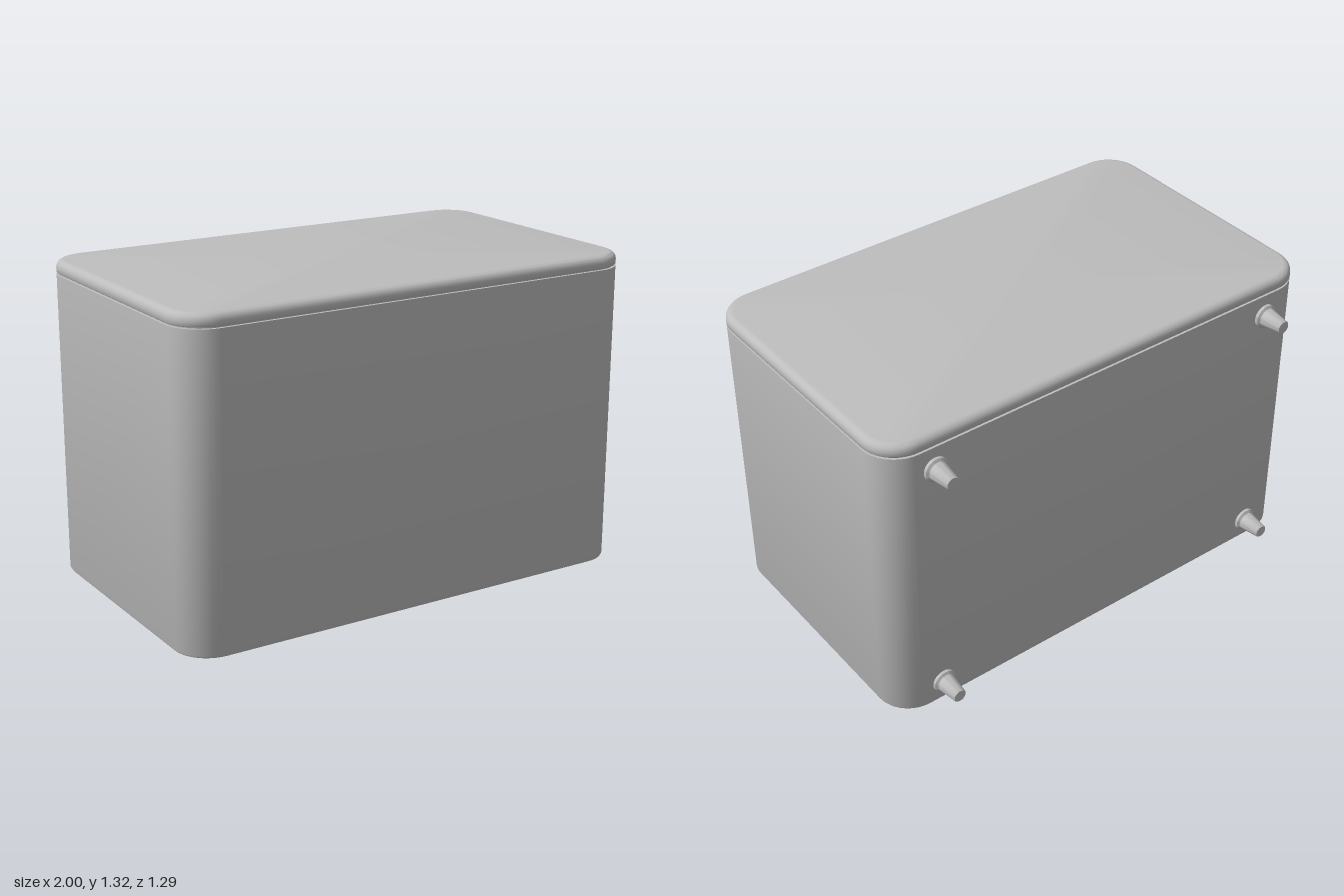
import * as THREE from 'three';
import { toCreasedNormals } from 'three/addons/utils/BufferGeometryUtils.js';

const HALF_X = 1, HALF_Z = 0.592, MID_Z = 0.053, CORNER = 0.145, STEPS = 12;

// One rounded-rectangle cross-section, inset from the outer wall; inset null is the centre point
function ring(inset, y) {
  const pts = [];
  for (let q = 0; q < 4; q++) {
    const sx = q === 0 || q === 3 ? 1 : -1, sz = q < 2 ? 1 : -1;
    for (let i = 0; i <= STEPS; i++) {
      if (inset === null) { pts.push([0, y, MID_Z]); continue; }
      const a = (q + i / STEPS) * Math.PI / 2, r = CORNER - inset;
      pts.push([sx * (HALF_X - CORNER) + r * Math.cos(a), y,
        MID_Z + sz * (HALF_Z - CORNER) + r * Math.sin(a)]);
    }
  }
  return pts;
}

// Skin a profile of [inset, y] pairs around the rounded rectangle
function loft(profile) {
  const rings = profile.map(([d, y]) => ring(d, y)), pos = [];
  for (let k = 0; k + 1 < rings.length; k++) {
    const a = rings[k], b = rings[k + 1], n = a.length;
    for (let i = 0; i < n; i++) {
      const j = (i + 1) % n;
      if (profile[k][0] !== null) pos.push(...a[i], ...b[i], ...a[j]);
      if (profile[k + 1][0] !== null) pos.push(...a[j], ...b[i], ...b[j]);
    }
  }
  const g = new THREE.BufferGeometry();
  g.setAttribute('position', new THREE.Float32BufferAttribute(pos, 3));
  return toCreasedNormals(g, 0.7);
}

// Quarter round between a side and a flat top
function roundOver(r, top) {
  return Array.from({ length: 7 }, (_, i) => {
    const a = i / 6 * Math.PI / 2;
    return [r * (1 - Math.cos(a)), top - r * (1 - Math.sin(a))];
  });
}

export function createModel() {
  const group = new THREE.Group();
  const grey = new THREE.MeshStandardMaterial({ color: 0xbdbdbd });
  const add = (geo, name, parent = group) => {
    const m = new THREE.Mesh(geo, grey);
    m.name = name;
    parent.add(m);
    return m;
  };

  // Hollow housing, open underneath
  add(loft([[null, 1.22], [0.04, 1.22], [0.04, 0.035], [0.032, 0.027], [0.012, 0.027],
    [0.004, 0.03], [0, 0.038], [0, 1.264], [0.012, 1.264], [0.012, 1.272]]), 'housing');

  // Lid with a rounded upper edge
  add(loft([[0.02, 1.27], [0.003, 1.27], [0, 1.274], ...roundOver(0.03, 1.32), [null, 1.32]]), 'lid');

  // Connector plate closing one end of the opening
  const inset = 0.04, px = HALF_X - inset, pz = HALF_Z - inset, r = CORNER - inset;
  const outline = new THREE.Shape();
  outline.moveTo(0.58, -pz);
  outline.lineTo(px - r, -pz);
  outline.absarc(px - r, -pz + r, r, -Math.PI / 2, 0);
  outline.lineTo(px, pz - r);
  outline.absarc(px - r, pz - r, r, 0, Math.PI / 2);
  outline.lineTo(0.58, pz);
  outline.closePath();
  const plate = new THREE.ExtrudeGeometry(outline, { depth: 0.02, bevelEnabled: false, curveSegments: 12 });
  plate.rotateX(Math.PI / 2).translate(0, 0.04, MID_Z);
  add(toCreasedNormals(plate, 0.6), 'connectorPlate');

  // Raised rings on the plate
  for (const [z, radius] of [[0.385, 0.08], [0.035, 0.08], [-0.335, 0.09]]) {
    const profile = [[radius - 0.016, 0.024], [radius - 0.016, 0.006], [radius - 0.011, 0.001],
      [radius - 0.006, 0.001], [radius, 0.006], [radius, 0.024]];
    const geo = new THREE.LatheGeometry(profile.map(p => new THREE.Vector2(...p)), 40);
    add(toCreasedNormals(geo, 0.9), 'connectorRing').position.set(0.77, 0, z);
  }

  // Tapered pegs on the back, each with a collar
  const pegProfile = [[0, 0], [0.05, 0], [0.05, 0.012], [0.042, 0.016], [0.039, 0.018],
    [0.028, 0.104], [0.025, 0.108], [0, 0.108]].map(p => new THREE.Vector2(...p));
  const pegGeo = toCreasedNormals(new THREE.LatheGeometry(pegProfile, 32).rotateX(-Math.PI / 2), 0.6);
  for (const x of [-0.79, 0.79]) {
    for (const y of [0.12, 1.17]) add(pegGeo, 'backPeg').position.set(x, y, MID_Z - HALF_Z);
  }

  // Serpentine pipe along the inner side wall
  const low = 0.17, high = 1.1, bend = 0.045, wallX = -0.945;
  const corners = [];
  for (let i = 0; i < 4; i++) {
    const z = 0.45 - i * 0.25;
    const ends = i % 2 ? [low, high] : [high, low];
    ends.forEach(y => corners.push(new THREE.Vector3(wallX, y, z)));
  }
  const path = new THREE.CurvePath();
  let from = corners[0];
  for (let i = 1; i < corners.length; i++) {
    const c = corners[i], next = corners[i + 1];
    if (!next) { path.add(new THREE.LineCurve3(from, c)); break; }
    const before = c.clone().add(from.clone().sub(c).setLength(bend));
    const after = c.clone().add(next.clone().sub(c).setLength(bend));
    path.add(new THREE.LineCurve3(from, before));
    path.add(new THREE.QuadraticBezierCurve3(before, c, after));
    from = after;
  }
  add(new THREE.TubeGeometry(path, 400, 0.017, 10), 'serpentinePipe');

  return group;
}
